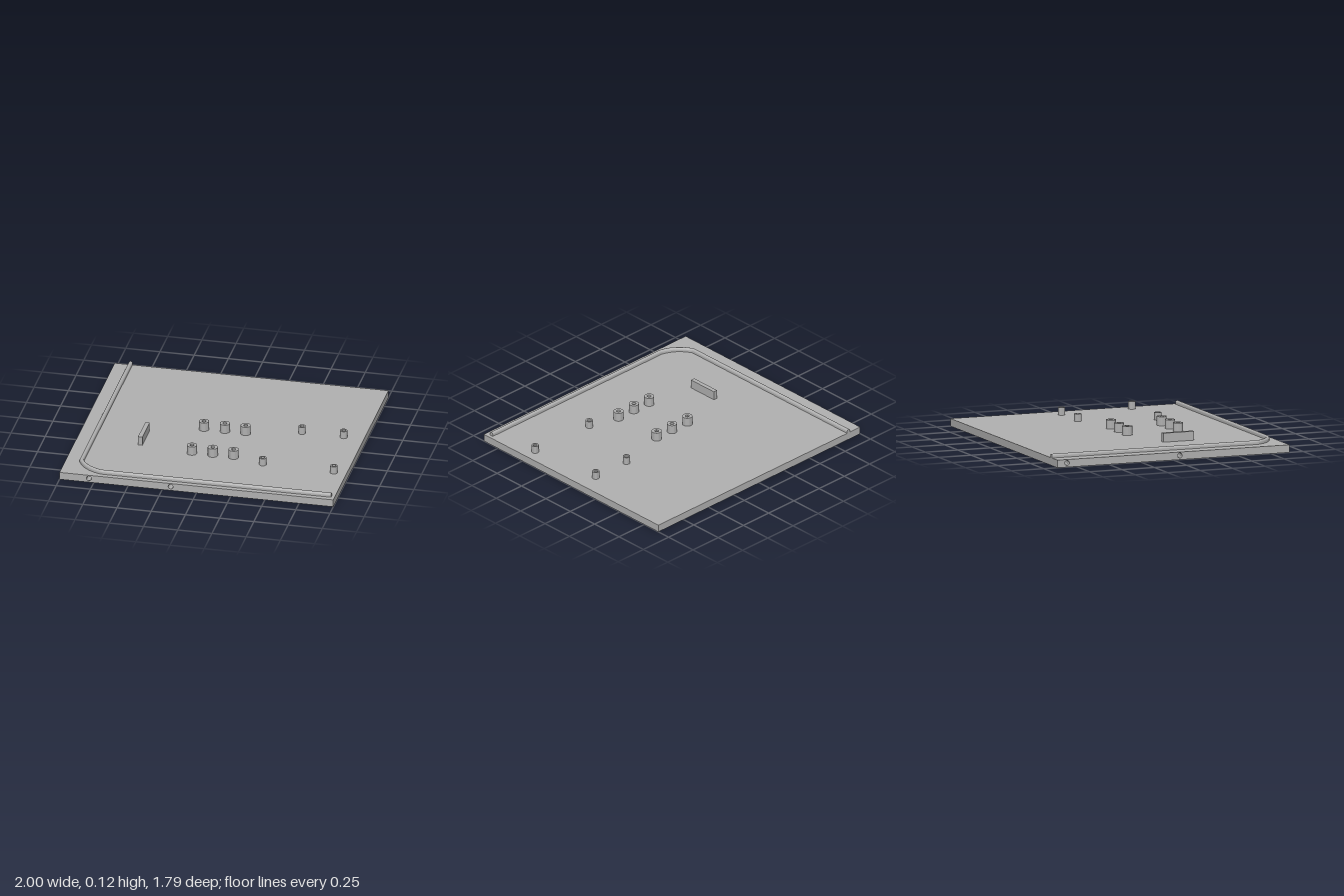
import * as THREE from 'three';
import { toCreasedNormals, mergeGeometries } from 'three/addons/utils/BufferGeometryUtils.js';

const W = 2, D = 1.79, T = 0.055; // plate width, depth, thickness
const SEG = 32;
const BORE = 0.0145, SOCKET = 0.018, SOCKET_Y = 0.03, SOCKET_DEPTH = 0.1;

// Flat rectangle facing +z with round holes [x, y, r]
function panel(w, h, holes = []) {
  const s = new THREE.Shape([[-1, -1], [1, -1], [1, 1], [-1, 1]]
    .map(([x, y]) => new THREE.Vector2(x * w / 2, y * h / 2)));
  for (const [x, y, r] of holes) s.holes.push(new THREE.Path().absarc(x, y, r, 0, Math.PI * 2, true));
  return new THREE.ShapeGeometry(s, SEG);
}

function lathe(points) {
  const g = new THREE.LatheGeometry(points.map(([r, y]) => new THREE.Vector2(r, y)), SEG);
  return toCreasedNormals(g, 0.6);
}

// Sweeps a counter-clockwise section [side, y] along a level path of Vector2(x, z)
function sweep(path, section) {
  const rings = path.map((p, i) => {
    const a = path[Math.max(i - 1, 0)], b = path[Math.min(i + 1, path.length - 1)];
    const d = b.clone().sub(a).normalize();
    return section.map(([s, y]) => [p.x + d.y * s, y, p.y - d.x * s]);
  });
  const pos = [], n = section.length;
  const tri = (...v) => v.forEach((p) => pos.push(...p));
  for (let i = 0; i < rings.length - 1; i++) {
    for (let j = 0; j < n; j++) {
      const k = (j + 1) % n, A = rings[i], B = rings[i + 1];
      tri(A[j], A[k], B[k]);
      tri(A[j], B[k], B[j]);
    }
  }
  const first = rings[0], last = rings[rings.length - 1];
  for (let j = 1; j < n - 1; j++) {
    tri(first[0], first[j + 1], first[j]);
    tri(last[0], last[j], last[j + 1]);
  }
  const g = new THREE.BufferGeometry();
  g.setAttribute('position', new THREE.Float32BufferAttribute(pos, 3));
  return toCreasedNormals(g, 0.6);
}

export function createModel() {
  const model = new THREE.Group();
  model.name = 'basePlate';
  const grey = new THREE.MeshStandardMaterial({ color: 0xb0b0b0 });
  grey.name = 'grey';
  const add = (name, geometry, x = 0, y = 0, z = 0) => {
    const m = new THREE.Mesh(geometry, grey);
    m.name = name;
    m.position.set(x, y, z);
    model.add(m);
  };

  // Layout of raised features and edge sockets
  const bigSpots = [-0.005, 0.386].flatMap((z) => [-0.147, 0.005, 0.157].map((x) => [x, z]));
  const smallSpots = [[0.548, -0.1], [0.852, -0.1], [0.385, 0.45], [0.907, 0.465]];
  const frontSockets = [-0.785, -0.188];
  const sideSockets = [-0.82, 0.05];

  // Plate skin: six panels with bores and edge sockets cut out
  const sy = SOCKET_Y - T / 2;
  add('plate', mergeGeometries([
    panel(W, D, bigSpots.map(([x, z]) => [x, -z, BORE])).rotateX(-Math.PI / 2).translate(0, T, 0),
    panel(W, D, bigSpots.map(([x, z]) => [x, z, BORE])).rotateX(Math.PI / 2),
    panel(W, T, frontSockets.map((x) => [x, sy, SOCKET])).translate(0, T / 2, D / 2),
    panel(W, T).rotateY(Math.PI).translate(0, T / 2, -D / 2),
    panel(D, T, sideSockets.map((z) => [z, sy, SOCKET])).rotateY(-Math.PI / 2).translate(-W / 2, T / 2, 0),
    panel(D, T).rotateY(Math.PI / 2).translate(W / 2, T / 2, 0),
  ]));

  // Blind holes in the front and side edges
  const socket = lathe([[SOCKET, 0], [SOCKET, -SOCKET_DEPTH], [0, -SOCKET_DEPTH]]);
  const frontSocket = socket.clone().rotateX(Math.PI / 2);
  const sideSocket = socket.clone().rotateZ(Math.PI / 2);
  for (const x of frontSockets) add('frontSocket', frontSocket, x, SOCKET_Y, D / 2);
  for (const z of sideSockets) add('sideSocket', sideSocket, -W / 2, SOCKET_Y, z);

  // Bosses bored right through the plate
  const bigBoss = lathe([[0.036, T], [0.036, 0.12], [BORE, 0.12], [BORE, 0]]);
  for (const [x, z] of bigSpots) add('throughBoss', bigBoss, x, 0, z);

  // Smaller bosses with blind holes
  const smallBoss = lathe([[0.026, T], [0.026, 0.11], [0.015, 0.11], [0.015, T]]);
  for (const [x, z] of smallSpots) add('smallBoss', smallBoss, x, 0, z);

  // Upright block
  add('block', new THREE.BoxGeometry(0.032, 0.12 - T, 0.235), -0.535, (0.12 + T) / 2, 0.225);

  // Round-topped rib along the side and front, bowed across the corner
  const r = 0.014;
  const section = [[-r, T], [r, T]];
  for (let i = 0; i <= 10; i++) {
    const a = Math.PI * i / 10;
    section.push([r * Math.cos(a), T + r + r * Math.sin(a)]);
  }
  const V = (x, z) => new THREE.Vector2(x, z);
  const corner = new THREE.QuadraticBezierCurve(V(-0.884, 0.695), V(-0.826, 0.815), V(-0.7, 0.843));
  add('rib', sweep([V(-0.884, -D / 2), V(-0.884, 0.68), ...corner.getPoints(16), V(-0.685, 0.843), V(0.975, 0.843)], section));

  return model;
}
